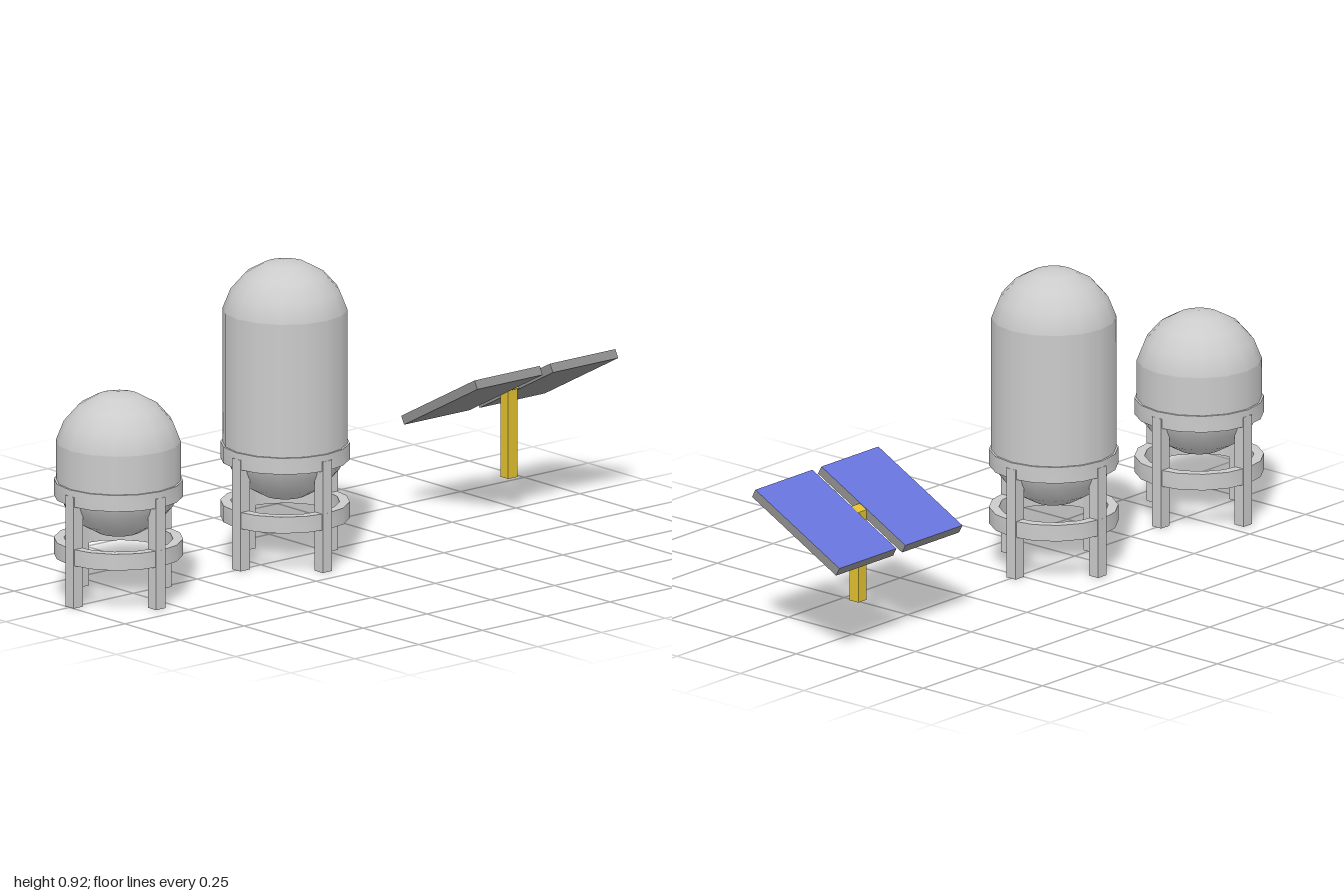
import * as THREE from 'three';
import { toCreasedNormals } from 'three/addons/utils/BufferGeometryUtils.js';

const SIDES = 16;
const grey = new THREE.MeshStandardMaterial({ color: 0xcccccc });
const darkGrey = new THREE.MeshStandardMaterial({ color: 0x909090 });
const blue = new THREE.MeshStandardMaterial({ color: 0x6874dd });
const yellow = new THREE.MeshStandardMaterial({ color: 0xe0c030 });

function add(parent, name, geometry, material, x = 0, y = 0, z = 0) {
  const mesh = new THREE.Mesh(geometry, material);
  mesh.name = name;
  mesh.position.set(x, y, z);
  parent.add(mesh);
  return mesh;
}

// Square-section hoop with sharp rims
function hoop(inner, outer, y0, y1) {
  const profile = [[inner, y0], [outer, y0], [outer, y1], [inner, y1], [inner, y0]]
    .map(([r, y]) => new THREE.Vector2(r, y));
  return toCreasedNormals(new THREE.LatheGeometry(profile, SIDES), 0.6);
}

// Capsule tank held in a four-legged stand
function createTank(name, x, wallTop) {
  const tank = new THREE.Group();
  tank.name = name;
  tank.position.x = x;

  const R = 0.19, capAngle = THREE.MathUtils.degToRad(78), wallBottom = 0.34;
  const wallRadius = R * Math.sin(capAngle);
  const drop = R * Math.cos(capAngle);
  const wallHeight = wallTop - wallBottom;
  add(tank, 'tankWall',
    new THREE.CylinderGeometry(wallRadius, wallRadius, wallHeight, SIDES, 1, true),
    grey, 0, wallBottom + wallHeight / 2);
  const cap = new THREE.SphereGeometry(R, SIDES, 4, 0, Math.PI * 2, 0, capAngle);
  add(tank, 'topDome', cap, grey, 0, wallTop - drop);
  add(tank, 'bottomDome', cap, grey, 0, wallBottom + drop).rotation.x = Math.PI;

  // Stand: two hoops and four legs
  add(tank, 'upperHoop', hoop(0.162, 0.192, 0.31, 0.36), grey);
  add(tank, 'lowerHoop', hoop(0.162, 0.192, 0.13, 0.18), grey);
  const legGeometry = new THREE.BoxGeometry(0.037, 0.34, 0.037);
  for (let i = 0; i < 4; i++) {
    const a = (i * Math.PI) / 2;
    add(tank, 'leg', legGeometry, grey, 0.173 * Math.sin(a), 0.17, 0.173 * Math.cos(a));
  }
  return tank;
}

// Two tilted panels on a post
function createSolarArray(x) {
  const array = new THREE.Group();
  array.name = 'solarArray';
  array.position.x = x;
  add(array, 'post', new THREE.BoxGeometry(0.036, 0.28, 0.034), yellow, 0, 0.24);

  const tilt = new THREE.Group();
  tilt.name = 'tiltedPanels';
  tilt.position.set(0, 0.376, 0.003);
  tilt.rotation.x = -THREE.MathUtils.degToRad(27.8);
  array.add(tilt);
  add(tilt, 'hingeBar', new THREE.BoxGeometry(0.06, 0.024, 0.03), yellow);
  // Only the upper face carries the cells
  const faces = [darkGrey, darkGrey, blue, darkGrey, darkGrey, darkGrey];
  const panelGeometry = new THREE.BoxGeometry(0.256, 0.028, 0.374);
  for (const side of [-1, 1]) {
    add(tilt, side > 0 ? 'leftPanel' : 'rightPanel', panelGeometry, faces, side * 0.148);
  }
  return array;
}

export function createModel() {
  const model = new THREE.Group();
  model.name = 'tanksAndSolarArray';
  model.add(
    createTank('shortTank', -0.808, 0.477),
    createTank('tallTank', -0.155, 0.767),
    createSolarArray(0.723),
  );
  return model;
}
